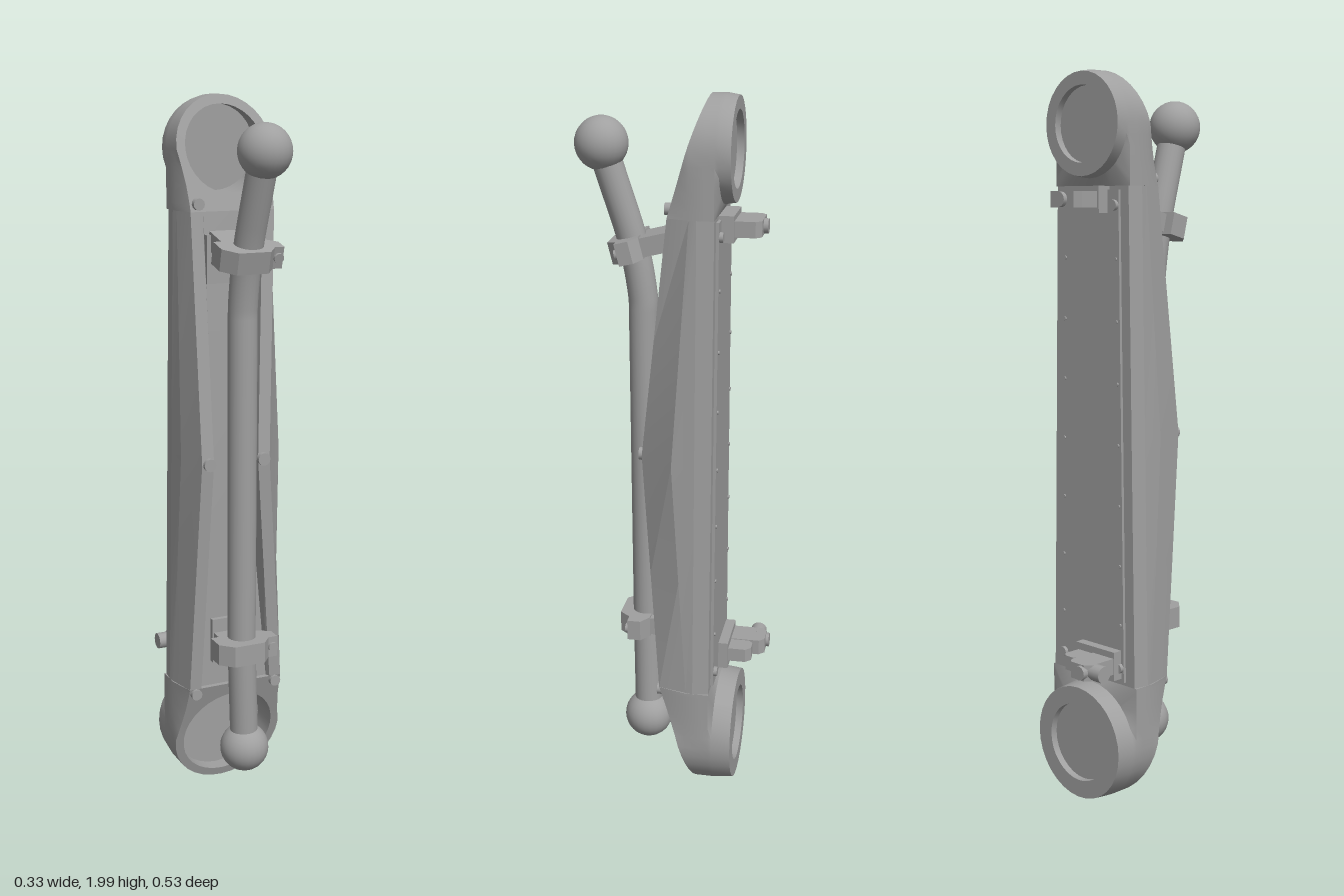
import * as THREE from 'three';
import { toCreasedNormals } from 'three/addons/utils/BufferGeometryUtils.js';

const metal = new THREE.MeshStandardMaterial({ color: 0xa0a0a0 });
metal.name = 'plain grey';

const lerp = THREE.MathUtils.lerp;
const clamp01 = (t) => Math.min(1, Math.max(0, t));

// piecewise linear lookup in [key, value] pairs
function along(pairs, y) {
  for (let i = 1; i < pairs.length; i++) {
    const [a, va] = pairs[i - 1], [b, vb] = pairs[i];
    if (y <= b) return lerp(va, vb, clamp01((y - a) / (b - a)));
  }
  return pairs[pairs.length - 1][1];
}

// front height of the arm, shallow V with its peak halfway up
const frontZ = (y) => along([[0, -0.09], [0.2, -0.03], [0.35, 0.02], [1.03, 0.08],
  [1.7, 0], [1.88, -0.055], [2, -0.095]], y);

// skin a list of equal, closed loops of [x, y, z]
function loft(loops, crease = 0.5) {
  const n = loops[0].length, index = [];
  for (let k = 0; k < loops.length - 1; k++) {
    for (let i = 0; i < n; i++) {
      const j = (i + 1) % n;
      const a = k * n + i, b = k * n + j, c = b + n, d = a + n;
      index.push(a, b, c, a, c, d);
    }
  }
  const g = new THREE.BufferGeometry();
  g.setAttribute('position', new THREE.Float32BufferAttribute(loops.flat(2), 3));
  g.setIndex(index);
  return toCreasedNormals(g, crease);
}

// end housing: round outside, square where it meets the beam, cups front and back
function housing(cy, R, H, dir, hole, backHole, zBack, zCup) {
  const corner = Math.atan2(H, R);
  const angles = [corner * dir, (Math.PI - corner) * dir];
  for (let i = 0; i < 32; i++) angles.push((i / 32) * Math.PI * 2);
  const list = angles.map((a) => (a + Math.PI * 2) % (Math.PI * 2)).sort((a, b) => a - b);
  const dRadius = (a) => {
    const s = Math.sin(a) * dir, c = Math.abs(Math.cos(a));
    return s <= 0 ? R : Math.min(R / Math.max(c, 1e-6), H / s);
  };
  const ring = (radius, z, inset = 0) => list.map((a) => {
    const r = typeof radius === 'function' ? radius(a) : radius;
    const y = cy + r * Math.sin(a);
    const narrow = 1 - inset * clamp01(Math.sin(a) * dir * 1.5);
    return [r * Math.cos(a) * narrow, y, typeof z === 'function' ? z(y) : z];
  });
  const rim = (y) => Math.max(frontZ(y), -0.1);
  return loft([
    ring(0, zBack + 0.02), ring(backHole, zBack + 0.02), ring(backHole, zBack),
    ring(R * 0.965, zBack), ring(R, -0.135), ring(dRadius, -0.125), ring(dRadius, -0.1),
    ring(dRadius, (y) => Math.min(rim(y), -0.06)), ring(dRadius, rim, 0.13),
    ring(hole, rim), ring(hole, zCup), ring(0, zCup),
  ]);
}

// beam: open channel with two crests, the bevel on +x being the larger one
function beam() {
  const section = (y) => {
    const w = along([[0.35, 0.165], [1.7, 0.14]], y);
    const right = along([[0.35, 0.143], [1.03, 0.075], [1.7, 0.122]], y);
    const left = along([[0.35, -0.143], [1.03, -0.127], [1.7, -0.122]], y);
    const shoulder = along([[0.35, -0.06], [1.03, -0.016], [1.7, -0.06]], y);
    const z = frontZ(y), floor = along([[0.35, 0.005], [1.03, 0.015], [1.7, -0.01]], y);
    return [[right - 0.035, z], [right, z], [w * 0.98, shoulder], [w, -0.08], [w * 0.96, -0.125],
      [-w * 0.96, -0.125], [-w, -0.08], [-w * 0.98, shoulder], [left, z], [left + 0.035, z],
      [left + 0.04, floor], [right - 0.04, floor]].map(([x, q]) => [x, y, q]);
  };
  return loft([0.35, 0.69, 1.03, 1.365, 1.7].map(section), 0.15);
}

export function createModel() {
  const model = new THREE.Group();
  model.name = 'arm';
  const add = (name, geometry, x = 0, y = 0, z = 0, parent = model) => {
    const m = new THREE.Mesh(geometry, metal);
    m.name = name;
    m.position.set(x, y, z);
    parent.add(m);
    return m;
  };
  const box = (w, h, d) => new THREE.BoxGeometry(w, h, d);
  const screw = (name, x, y, z, r, h = 0.014, parent = model) =>
    add(name, new THREE.CylinderGeometry(r, r, h, 12).rotateX(Math.PI / 2), x, y, z, parent);

  // main body
  add('lowerHousing', housing(0.172, 0.165, 0.178, 1, 0.14, 0.11, -0.188, -0.125));
  add('upperHousing', housing(1.86, 0.14, 0.16, -1, 0.115, 0.1, -0.165, -0.12));
  add('beam', beam());

  // back cover plate, tapering upward
  const plate = new THREE.Shape([[-0.125, 0.36], [0.125, 0.36], [0.105, 1.69], [-0.105, 1.69]]
    .map(([x, y]) => new THREE.Vector2(x, y)));
  add('backPlate', new THREE.ExtrudeGeometry(plate, { depth: 0.009, bevelEnabled: false }), 0, 0, -0.133);

  // screws on the front crests, ends and back plate
  screw('crestScrew', -0.106, 1.03, 0.08, 0.018, 0.02);
  screw('crestScrew', 0.055, 1.03, 0.08, 0.018, 0.02);
  for (const s of [-1, 1]) {
    screw('upperScrew', s * 0.1, 1.72, -0.002, 0.016, 0.02);
    screw('lowerScrew', s * 0.124, 0.335, 0.018, 0.016, 0.02);
    screw('backScrew', s * 0.092, 1.65, -0.136, 0.014);
    screw('backScrew', s * 0.11, 0.4, -0.136, 0.014);
    for (let i = 0; i < 7; i++) {
      screw('rivet', s * lerp(0.112, 0.096, i / 6), 0.52 + i * 0.165, -0.134, 0.005, 0.006);
    }
  }

  // rod with a ball at each end
  const path = new THREE.CurvePath();
  const pts = [[0, 0.175, 0.08], [-0.012, 0.5, 0.086], [-0.012, 1.45, 0.09],
    [-0.012, 1.57, 0.103], [0, 1.865, 0.197]].map((p) => new THREE.Vector3(...p));
  path.add(new THREE.LineCurve3(pts[0], pts[1]));
  path.add(new THREE.LineCurve3(pts[1], pts[2]));
  path.add(new THREE.QuadraticBezierCurve3(pts[2], pts[3], pts[3].clone().lerp(pts[4], 0.35)));
  path.add(new THREE.LineCurve3(pts[3].clone().lerp(pts[4], 0.35), pts[4]));
  add('rod', new THREE.TubeGeometry(path, 60, 0.04, 20));
  add('upperBall', new THREE.SphereGeometry(0.071, 24, 16), 0, 1.865, 0.196);
  add('lowerBall', new THREE.SphereGeometry(0.07, 24, 16), 0, 0.175, 0.08);

  // clamps holding the rod to the beam
  const clampShape = new THREE.Shape([[-0.085, -0.03], [-0.085, 0.025], [-0.05, 0.06], [0.04, 0.06],
    [0.065, 0.03], [0.092, 0.03], [0.092, -0.008], [0.06, -0.03]].map(([x, z]) => new THREE.Vector2(x, -z)));
  const clamp = (name, y, z, tilt, h, footDepth) => {
    const g = new THREE.Group();
    g.name = name;
    g.position.set(-0.012, y, z);
    g.rotation.x = tilt;
    model.add(g);
    const body = new THREE.ExtrudeGeometry(clampShape, { depth: h, bevelEnabled: false });
    add('clampRing', body.rotateX(-Math.PI / 2).translate(0, -h / 2, 0), 0, 0, 0, g);
    add('clampFoot', box(0.115, h * 0.85, footDepth), 0, 0, -0.02 - footDepth / 2, g);
    screw('clampScrew', 0.078, 0, 0.03, 0.014, 0.014, g);
  };
  clamp('upperClamp', 1.595, 0.113, 0.25, 0.06, 0.1);
  clamp('lowerClamp', 0.49, 0.096, 0, 0.06, 0.08);
  add('upperClampBase', box(0.14, 0.13, 0.02), -0.012, 1.575, 0.004);
  add('lowerClampBase', box(0.13, 0.13, 0.02), -0.008, 0.49, 0.012);

  // lugs on the back: tapered blocks with rounded corners seen from above
  const lug = (name, w, depth, h, x, y) => {
    const s = new THREE.Shape([[-w / 2, 0], [w / 2, 0], [w / 2, depth - 0.015], [w / 2 - 0.015, depth],
      [-w / 2 + 0.015, depth], [-w / 2, depth - 0.015]].map(([a, b]) => new THREE.Vector2(a, b)));
    const g = new THREE.ExtrudeGeometry(s, { depth: h, bevelEnabled: false });
    add(name, g.rotateX(-Math.PI / 2), x, y - h / 2, -0.125);
  };
  lug('upperLug', 0.118, 0.11, 0.042, 0, 1.665);
  add('upperLugBase', box(0.13, 0.07, 0.04), 0, 1.665, -0.145);
  screw('upperLugBolt', 0, 1.665, -0.238, 0.02, 0.018);
  lug('lowerLug', 0.08, 0.132, 0.045, -0.072, 0.41);
  lug('lowerLugStep', 0.06, 0.1, 0.04, -0.005, 0.41);
  add('lowerLugBase', box(0.15, 0.08, 0.035), -0.04, 0.41, -0.143);
  screw('lowerLugBolt', -0.086, 0.41, -0.258, 0.02, 0.016);
  add('lowerLugPin', new THREE.CylinderGeometry(0.023, 0.023, 0.06, 16).rotateZ(Math.PI / 2),
    -0.115, 0.41, -0.228);

  return model;
}
